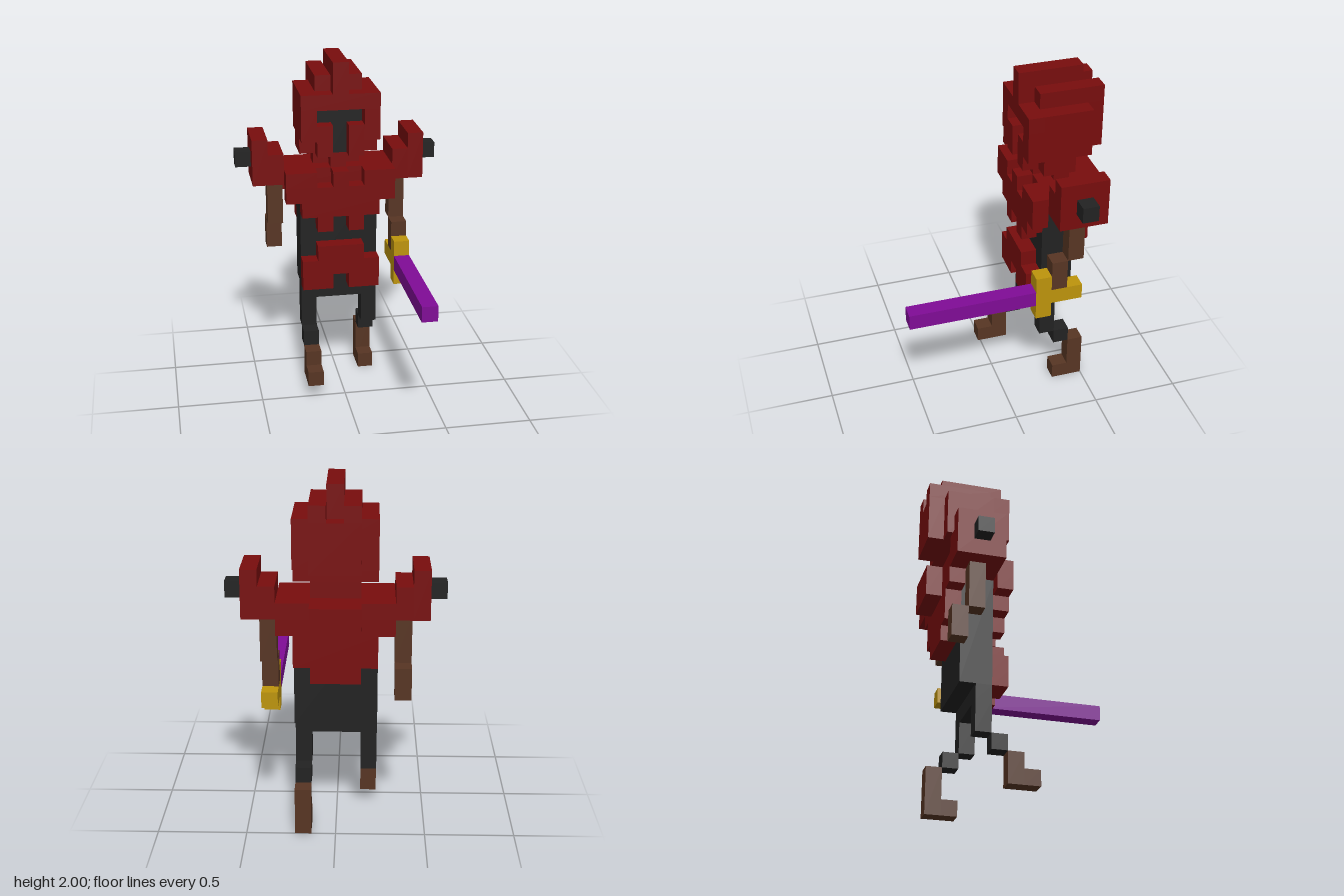
import * as THREE from 'three';

const U = 2 / 22; // one block of the grid

const material = (name, color) => {
  const m = new THREE.MeshStandardMaterial({ color });
  m.name = name;
  return m;
};

export function createModel() {
  const model = new THREE.Group();
  model.name = 'knight';
  const red = material('armour red', 0x780d0d);
  const black = material('cloth black', 0x222222);
  const brown = material('leather brown', 0x573523);
  const gold = material('hilt gold', 0xbd940c);
  const purple = material('blade purple', 0x800c96);

  // a part is a group of blocks, each given by grid ranges x0,x1, y0,y1, z0,z1
  function part(name, mat, ...blocks) {
    const group = new THREE.Group();
    group.name = name;
    for (const [x0, x1, y0, y1, z0, z1] of blocks) {
      const geometry = new THREE.BoxGeometry((x1 - x0) * U, (y1 - y0) * U, (z1 - z0) * U);
      const mesh = new THREE.Mesh(geometry, mat);
      mesh.name = name + 'Block';
      mesh.position.set(((x0 + x1) / 2 - 6.5) * U, ((y0 + y1) / 2) * U, ((z0 + z1) / 2 - 6.5) * U);
      group.add(mesh);
    }
    model.add(group);
  }
  // a block together with its mirror image across x
  const pair = (b) => [b, [13 - b[1], 13 - b[0], ...b.slice(2)]];

  // helmet: core, face frame around the visor, crest and back plate
  part('helmet', red,
    [4, 9, 17, 20, 1, 4],
    [4, 9, 16, 17, 2, 4],
    [4, 9, 19, 20, 4, 5],
    ...pair([4, 5, 17, 19, 4, 5]),
    ...pair([5, 6, 16, 18, 4, 5]));
  part('helmetCrest', red,
    [6, 7, 20, 22, 1, 5],
    ...pair([5, 6, 20, 21, 0, 4]));
  part('helmetBackPlate', red, [5, 8, 17, 20, 0, 1]);
  part('visor', black,
    [5, 8, 18, 19, 4, 4.1],
    [6, 7, 16, 18, 4, 4.1]);

  // neck, chest, back and shoulders
  part('neck', red, [5, 8, 15, 16, 2, 3], [6, 7, 15, 16, 3, 4]);
  part('chestPlate', red,
    [3, 10, 14, 15, 1, 4],
    ...pair([3, 5, 14, 15, 4, 5]),
    [6, 7, 14, 15, 4, 5],
    [3, 10, 13, 14, 4, 5],
    [4, 9, 12, 13, 4, 5],
    ...pair([5, 6, 11, 12, 4, 5]));
  part('backPlate', red,
    [5, 8, 13, 15, 0, 1],
    [3, 10, 13, 14, 1, 2],
    [4, 9, 11, 13, 1, 2],
    [5, 8, 10, 11, 1, 2]);
  part('shoulderPads', red,
    ...pair([1, 2, 14, 17, 1, 4]),
    ...pair([2, 3, 14, 16, 1, 4]));
  part('shoulderSpikes', black, ...pair([0, 1, 15, 16, 2, 3]));

  // body and skirt
  part('torso', black, [4, 9, 7, 14, 2, 4], [4, 9, 6, 7, 3, 4]);
  part('skirt', red,
    [5, 8, 9, 10, 4, 5],
    [4, 9, 8, 9, 4, 5],
    ...pair([4, 6, 7, 8, 4, 5]));

  // arms swing in opposite directions
  part('upperArms', brown, ...pair([2, 3, 11, 14, 2, 3]));
  part('rightForearm', brown, [2, 3, 9, 11, 1, 2]);
  part('leftForearm', brown, [10, 11, 9, 11, 3, 4]);

  // legs in mid stride
  part('thighs', black, ...pair([4, 5, 4, 6, 3, 4]));
  part('rightKnee', black, [4, 5, 3, 4, 4, 5]);
  part('rightBoot', brown, [4, 5, 1, 3, 5, 6], [4, 5, 1, 2, 6, 7]);
  part('leftKnee', black, [8, 9, 3, 4, 2, 3]);
  part('leftBoot', brown, [8, 9, 0, 3, 1, 2], [8, 9, 0, 1, 2, 3]);

  // sword
  part('swordHilt', gold, [10, 11, 8, 9, 2, 4], [10, 11, 7, 10, 4, 5]);
  part('swordBlade', purple, [10, 11, 8, 9, 5, 13]);

  return model;
}
